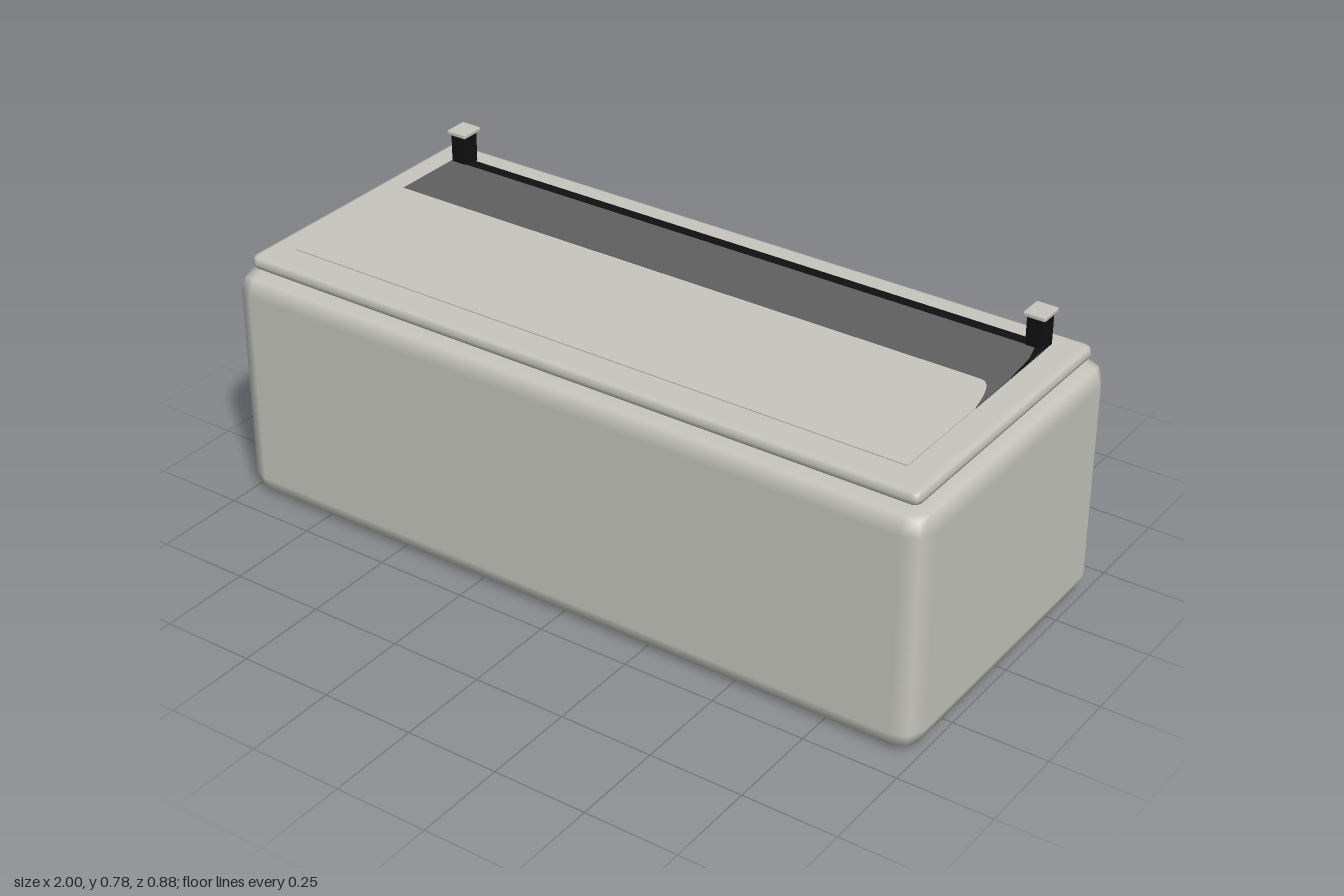
import * as THREE from 'three';
import { RoundedBoxGeometry } from 'three/addons/geometries/RoundedBoxGeometry.js';

export function createModel() {
  const group = new THREE.Group();
  const material = (name, color) => {
    const m = new THREE.MeshStandardMaterial({ color });
    m.name = name;
    return m;
  };
  const shell = material('warm light grey', 0xc6c6be);
  const grey = material('dark grey', 0x606060);
  const black = material('black', 0x101010);

  const add = (name, geometry, mat, x = 0, y = 0, z = 0) => {
    const mesh = new THREE.Mesh(geometry, mat);
    mesh.name = name;
    mesh.position.set(x, y, z);
    group.add(mesh);
  };
  // Thin horizontal plate drawn in plan, where shape y points to the back
  const plate = (name, shape, depth, mat) => {
    const geometry = new THREE.ExtrudeGeometry(shape, { depth, bevelEnabled: false, curveSegments: 8 });
    geometry.rotateX(-Math.PI / 2);
    add(name, geometry, mat, 0, 0.69, 0);
  };
  const polygon = (points) => new THREE.Shape(points.map(([x, z]) => new THREE.Vector2(x, -z)));

  // Bevelled case and the narrower lid on top
  add('case', new RoundedBoxGeometry(2, 0.652, 0.88, 1, 0.06), shell, 0, 0.326, 0);
  add('lid', new RoundedBoxGeometry(1.93, 0.042, 0.81, 1, 0.0205), shell, 0, 0.669, 0);

  // Slightly raised front panel
  plate('topPanel', polygon([[-0.885, 0.32], [0.885, 0.32], [0.885, -0.1], [-0.885, -0.1]]), 0.003, shell);

  // Dark slot with a curved tail at its left end
  const slot = new THREE.Shape();
  slot.moveTo(-0.885, 0.1);
  slot.lineTo(0.83, 0.1);
  slot.quadraticCurveTo(0.865, 0.1, 0.885, -0.02);
  slot.lineTo(0.885, 0.3);
  slot.lineTo(-0.885, 0.3);
  plate('slot', slot, 0.004, grey);
  plate('slotEdge', polygon([[0.885, -0.14], [0.885, -0.3], [0.862, -0.3], [0.878, -0.24]]), 0.005, black);

  // Black strip between the posts
  plate('rearStrip', polygon([[-0.84, -0.3], [0.84, -0.3], [0.84, -0.33], [-0.84, -0.33]]), 0.005, black);

  // Corner posts with square caps
  for (const side of [-1, 1]) {
    const x = 0.859 * side;
    add('post', new RoundedBoxGeometry(0.05, 0.09, 0.05, 1, 0.006), black, x, 0.73, -0.322);
    add('postCap', new RoundedBoxGeometry(0.06, 0.013, 0.068, 1, 0.004), shell, x, 0.778, -0.322);
  }
  return group;
}
